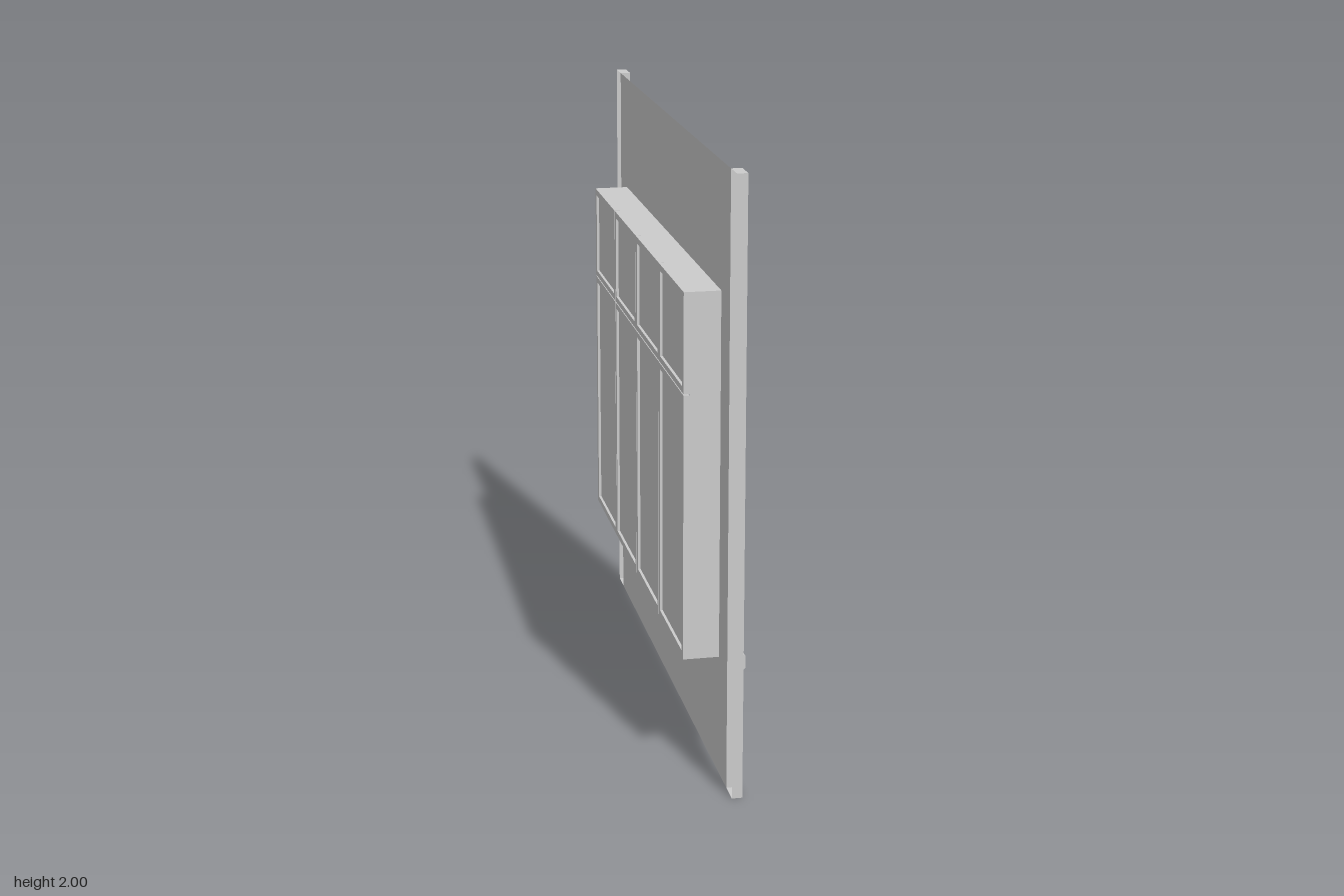
import * as THREE from 'three';

const BACK = -0.102, FRAME = -0.084, WALL = 0.015, POST = 0.049, SILL = 0.102;
const BOTTOM = 0.4, BAR = 1.275, TOP = 1.6, HALF = 0.8;

const solid = new THREE.MeshStandardMaterial({ color: 0xcccccc });
const thin = new THREE.MeshStandardMaterial({ color: 0xcccccc, side: THREE.DoubleSide });

// Rectangle outline in the wall plane: horizontal u, vertical y
function rect(u0, y0, u1, y1, Type = THREE.Shape) {
  const s = new Type();
  s.moveTo(u0, y0);
  s.lineTo(u1, y0);
  s.lineTo(u1, y1);
  s.lineTo(u0, y1);
  s.closePath();
  return s;
}

function add(parent, name, geometry, material = solid) {
  const m = new THREE.Mesh(geometry, material);
  m.name = name;
  parent.add(m);
  return m;
}

// Turn a drawing in the xy plane so that it faces +x, at the given x
const faceOut = (geometry, x) => geometry.rotateY(Math.PI / 2).translate(x, 0, 0);

export function createModel() {
  const group = new THREE.Group();
  group.name = 'windowWall';

  // Thin wall sheet with the window opening
  const wall = rect(-0.92, 0, 0.92, 2);
  wall.holes.push(rect(-HALF, BOTTOM, HALF, TOP, THREE.Path));
  add(group, 'wall', faceOut(new THREE.ShapeGeometry(wall), WALL), thin);

  // Edge posts: channels open at the back
  for (const side of [1, -1]) {
    const g = new THREE.BoxGeometry(POST - WALL, 2, 0.08);
    const index = Array.from(g.index.array);
    index.splice(6, 6);
    g.setIndex(index);
    g.clearGroups();
    g.translate((POST + WALL) / 2, 1, side * 0.96);
    add(group, side > 0 ? 'frontPost' : 'backPost', g, thin);
  }

  // Reveal: four thin sheets lining the opening
  const depth = WALL - FRAME, midX = (WALL + FRAME) / 2;
  for (const [name, y] of [['revealBottom', BOTTOM], ['revealTop', TOP]]) {
    const g = new THREE.PlaneGeometry(depth, HALF * 2).rotateX(-Math.PI / 2);
    add(group, name, g.translate(midX, y, 0), thin);
  }
  for (const side of [1, -1]) {
    const g = new THREE.PlaneGeometry(depth, TOP - BOTTOM);
    add(group, 'revealSide', g.translate(midX, (TOP + BOTTOM) / 2, side * HALF), thin);
  }

  // Sill with eased outer edges
  const e = 0.008, s = new THREE.Shape();
  s.moveTo(WALL, 0.35);
  s.lineTo(SILL - e, 0.35);
  s.quadraticCurveTo(SILL, 0.35, SILL, 0.35 + e);
  s.lineTo(SILL, BOTTOM - e);
  s.quadraticCurveTo(SILL, BOTTOM, SILL - e, BOTTOM);
  s.lineTo(WALL, BOTTOM);
  s.closePath();
  const sill = new THREE.ExtrudeGeometry(s, { depth: HALF * 2, bevelEnabled: false, curveSegments: 3 });
  add(group, 'sill', sill.translate(0, 0, -HALF));

  // Window lights: a frame ring around a recessed pane, in two rows of four
  const gap = 0.002, w = 0.022;
  for (const [y0, y1] of [[BOTTOM, BAR], [BAR, TOP]]) {
    for (let i = 0; i < 4; i++) {
      const u0 = -HALF + i * 0.4, u1 = u0 + 0.4;
      const light = new THREE.Group();
      light.name = 'windowLight';
      group.add(light);
      // outer edges stay flush with the reveal
      const ring = rect(
        u0 + (i > 0 ? gap : 0), y0 + (y0 > BOTTOM ? gap : 0),
        u1 - (i < 3 ? gap : 0), y1 - (y1 < TOP ? gap : 0));
      ring.holes.push(rect(u0 + w, y0 + w, u1 - w, y1 - w, THREE.Path));
      const frame = new THREE.ExtrudeGeometry(ring, { depth: FRAME - BACK, bevelEnabled: false });
      add(light, 'windowFrame', faceOut(frame, BACK));
      const pane = new THREE.ShapeGeometry(rect(u0 + w, y0 + w, u1 - w, y1 - w));
      add(light, 'pane', faceOut(pane, (BACK + FRAME) / 2), thin);
    }
  }
  return group;
}
